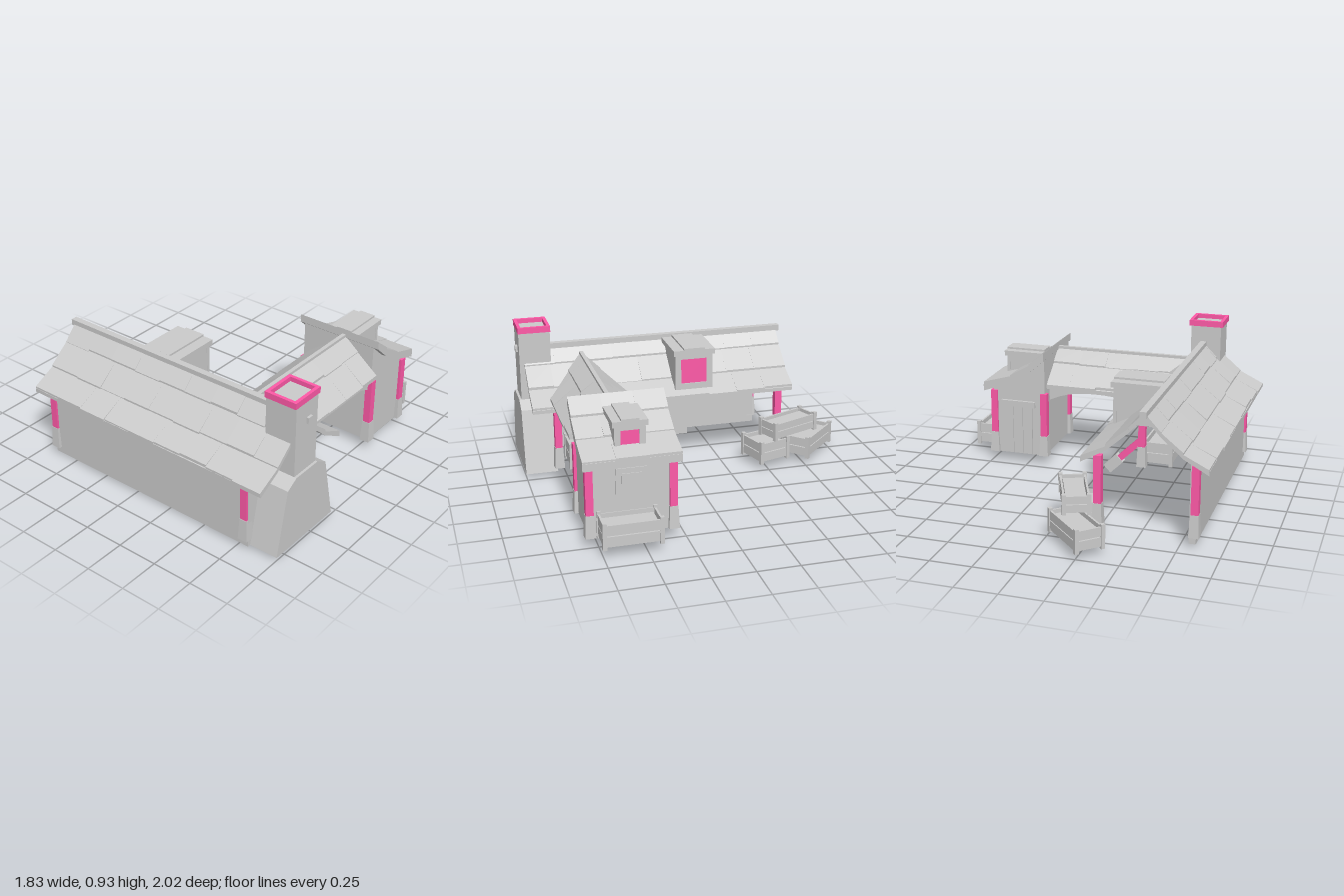
import * as THREE from 'three';

const grey = new THREE.MeshStandardMaterial({ color: 0xcccccc, flatShading: true, side: THREE.DoubleSide });
const pink = new THREE.MeshStandardMaterial({ color: 0xff5aa8, flatShading: true });

let seed = 7;
const rnd = () => (seed = (seed * 16807) % 2147483647) / 2147483647;

function add(parent, name, geo, mat = grey) {
  const m = new THREE.Mesh(geo, mat);
  m.name = name;
  parent.add(m);
  return m;
}

// box from its minimum and maximum corners
function box(parent, name, x0, x1, y0, y1, z0, z1, mat) {
  const g = new THREE.BoxGeometry(x1 - x0, y1 - y0, z1 - z0);
  g.translate((x0 + x1) / 2, (y0 + y1) / 2, (z0 + z1) / 2);
  return add(parent, name, g, mat);
}

// x-y outline extruded from z0 to z1
function prism(pts, z0, z1) {
  const shape = new THREE.Shape(pts.map(p => new THREE.Vector2(...p)));
  const g = new THREE.ExtrudeGeometry(shape, { depth: z1 - z0, bevelEnabled: false });
  return g.translate(0, 0, z0);
}

// remove the faces that lie on the lowest level
function openBottom(geo) {
  const p = geo.toNonIndexed().getAttribute('position');
  geo.computeBoundingBox();
  const low = geo.boundingBox.min.y + 1e-4, out = [];
  for (let i = 0; i < p.count; i += 3) {
    if ([0, 1, 2].every(k => p.getY(i + k) < low)) continue;
    for (let k = 0; k < 3; k++) out.push(p.getX(i + k), p.getY(i + k), p.getZ(i + k));
  }
  const g = new THREE.BufferGeometry();
  g.setAttribute('position', new THREE.Float32BufferAttribute(out, 3));
  g.computeVertexNormals();
  return g;
}

// one concave roof slope (ridge to eave) with raised, uneven tiles
function slope(parent, name, pts, z0, z1, cols, thick) {
  const under = pts.map(([x, y]) => [x, y - thick]).reverse();
  add(parent, name, prism([...pts, ...under], z0, z1));
  const w = (z1 - z0) / cols;
  for (let s = 0; s < pts.length - 1; s++) {
    const [ax, ay] = pts[s], [bx, by] = pts[s + 1];
    for (let c = 0; c < cols; c++) {
      const t = 0.003 + rnd() * 0.01, e = 1 + (rnd() - 0.4) * 0.1;
      const ex = ax + (bx - ax) * e, ey = ay + (by - ay) * e;
      const off = s % 2 ? 0.15 * w : 0;
      const a = z0 + c * w + (c ? off : 0), b = z0 + (c + 1) * w + (c < cols - 1 ? off : 0);
      add(parent, name + 'Tile', prism([[ax, ay - 0.004], [ex, ey - 0.004], [ex, ey + t + 0.005], [ax, ay + 0.004]], a, b));
    }
  }
}

// coloured post on a tapered foot
function post(parent, x, z, top = 0.5) {
  box(parent, 'post', x - 0.022, x + 0.022, 0.2, top, z - 0.022, z + 0.022, pink);
  const foot = new THREE.CylinderGeometry(0.034, 0.043, 0.135, 4).rotateY(Math.PI / 4).translate(x, 0.145, z);
  add(parent, 'postFoot', foot);
}

// slatted crate with corner posts, standing at y
function crate(parent, name, x, y, z, w, h, d, turn) {
  const g = new THREE.Group();
  g.name = name;
  const a = w / 2, b = d / 2, k = 0.012;
  box(g, 'crateFilling', -a + k, a - k, 0.015, h * 0.75, -b + k, b - k);
  for (const sx of [-1, 1]) for (const sz of [-1, 1]) {
    const px = sx * a, pz = sz * b;
    box(g, 'cratePost', px - k, px + k, 0, h, pz - k, pz + k);
  }
  for (let i = 0; i < 2; i++) {
    const y0 = h * (0.1 + 0.42 * i), y1 = y0 + h * 0.38;
    for (const s of [-1, 1]) {
      box(g, 'crateSlat', -a, a, y0, y1, s * b - 0.006, s * b + 0.006);
      box(g, 'crateSlat', s * a - 0.006, s * a + 0.006, y0, y1, -b, b);
    }
  }
  g.position.set(x, y, z);
  g.rotation.y = turn;
  parent.add(g);
}

// dormer facing +x with a coloured window and a plank roof
function dormer(parent, xBack, xFace, xRoof, y0, y1, z0, z1, frame) {
  const g = new THREE.Group();
  g.name = 'dormer';
  const rise = 0.035, zc = (z0 + z1) / 2, step = (z1 - z0) / 4;
  box(g, 'dormerBody', xBack, xFace, y0, y1, z0 + 0.015, z1 - 0.015);
  box(g, 'dormerWindow', xFace, xFace + 0.004, y0 + frame, y1 - frame, z0 + frame + 0.01, z1 - frame - 0.01, pink);
  for (const s of [-1, 1]) {
    const e = zc + s * (z1 - z0) / 2 - s * 0.012;
    const i = e - s * frame;
    box(g, 'dormerFrame', xFace - 0.01, xFace + 0.012, y0, y1, Math.min(e, i), Math.max(e, i));
  }
  box(g, 'dormerSill', xFace - 0.01, xFace + 0.012, y0, y0 + frame, z0 + 0.012, z1 - 0.012);
  box(g, 'dormerLintel', xFace - 0.01, xFace + 0.012, y1 - frame, y1, z0 + 0.012, z1 - 0.012);
  for (let i = 0; i < 4; i++) {
    const mid = i === 1 || i === 2 ? 0.012 : 0;
    box(g, 'dormerPlank', xBack, xRoof, y1 - 0.01, y1 + rise - 0.012 + mid, z0 + i * step, z0 + (i + 1) * step);
  }
  parent.add(g);
}

export function createModel() {
  const root = new THREE.Group();
  root.name = 'farmHouse';

  // long shed, open to the east and back
  const shed = new THREE.Group();
  shed.name = 'longShed';
  root.add(shed);
  const half = [[0, 0.79], [0.09, 0.69], [0.22, 0.575], [0.365, 0.495]];
  for (const s of [-1, 1]) {
    slope(shed, s < 0 ? 'shedRoofWest' : 'shedRoofEast', half.map(([d, y]) => [-0.55 + s * d, y]), -0.71, 0.955, 9, 0.022);
  }
  box(shed, 'ridgeBeam', -0.567, -0.528, 0.768, 0.806, -0.73, 1.0);
  box(shed, 'backWall', -0.84, -0.8, 0.035, 0.53, -0.65, -0.15);
  box(shed, 'frontWall', -0.84, -0.7, 0.035, 0.53, -0.15, 0.82);
  add(shed, 'frontGable', prism([[-0.84, 0.44], [-0.84, 0.51], [-0.7, 0.61], [-0.55, 0.76], [-0.4, 0.61], [-0.26, 0.51], [-0.26, 0.44]], 0.78, 0.82));
  for (const [x, z] of [[-0.83, 0.795], [-0.83, -0.64], [-0.27, 0.795], [-0.27, 0.32], [-0.27, -0.64]]) post(shed, x, z);
  dormer(shed, -0.52, -0.235, -0.21, 0.53, 0.765, -0.2, 0.065, 0.038);
  crate(shed, 'shedCrate', -0.35, 0.06, 0.56, 0.18, 0.17, 0.32, 0);

  // slanting support by the shed post
  const brace = new THREE.Group();
  brace.name = 'brace';
  box(brace, 'braceBeam', -0.02, 0.02, -0.22, 0, -0.02, 0.02, pink);
  box(brace, 'braceFoot', -0.033, 0.033, -0.315, -0.2, -0.028, 0.028);
  brace.position.set(-0.27, 0.26, 0.32);
  brace.rotation.z = 0.8;
  root.add(brace);

  // chimney
  const chimney = new THREE.Group();
  chimney.name = 'chimney';
  root.add(chimney);
  add(chimney, 'chimneyBase', prism([[-0.82, 0.035], [-0.3, 0.035], [-0.385, 0.43], [-0.465, 0.475], [-0.66, 0.475], [-0.735, 0.43]], 0.8, 1.0));
  box(chimney, 'chimneyShaft', -0.66, -0.465, 0.46, 0.915, 0.79, 0.985);
  for (const s of [-1, 1]) {
    const x = -0.5615 + s * 0.1, z = 0.8885 + s * 0.09;
    box(chimney, 'chimneyRim', x - 0.01, x + 0.01, 0.905, 0.942, 0.788, 0.989, pink);
    box(chimney, 'chimneyRim', -0.67, -0.453, 0.905, 0.942, z - 0.01, z + 0.01, pink);
  }

  // roofed bridge between the buildings, cut where it meets the shed roof
  const bridge = new THREE.Group();
  bridge.name = 'bridge';
  const prof = [[0, 0.74], [0.1, 0.655], [0.235, 0.54]];
  for (const s of [-1, 1]) slope(bridge, 'bridgeRoof', prof.map(([d, y]) => [s * d, y]), -0.5, 0.385, 5, 0.02);
  box(bridge, 'bridgeRidge', -0.012, 0.012, 0.73, 0.752, -0.5, 0.385);
  for (const m of bridge.children) {
    const p = m.geometry.getAttribute('position');
    for (let i = 0; i < p.count; i++) p.setZ(i, Math.max(p.getZ(i), -0.5 + 1.06 * Math.abs(p.getX(i))));
    m.geometry.computeVertexNormals();
  }
  bridge.rotation.y = Math.PI / 2;
  bridge.position.z = 0.595;
  root.add(bridge);
  const arch = [[-0.27, 0.56], [-0.27, 0.42]];
  for (let i = 0; i <= 10; i++) {
    const u = i / 10 * 2 - 1;
    arch.push([0.07 + u * 0.31, 0.5 - 0.065 * Math.abs(u) ** 2.5]);
  }
  arch.push([0.385, 0.56]);
  add(root, 'bridgeArch', prism(arch, 0.4, 0.79));

  // small house with a single slope
  const house = new THREE.Group();
  house.name = 'smallHouse';
  root.add(house);
  const outline = [[0.385, 0.075], [0.735, 0.075], [0.735, 0.54], [0.6, 0.58], [0.48, 0.66], [0.385, 0.75]];
  add(house, 'houseWalls', openBottom(prism(outline, 0.31, 0.8)));
  slope(house, 'houseRoof', [[0.38, 0.775], [0.48, 0.685], [0.61, 0.605], [0.795, 0.54]], 0.28, 0.835, 3, 0.045);
  for (const x of [0.39, 0.73]) for (const z of [0.32, 0.795]) post(house, x, z);
  dormer(house, 0.45, 0.685, 0.71, 0.54, 0.705, 0.45, 0.65, 0.035);
  // east window
  box(house, 'windowFrame', 0.73, 0.745, 0.3, 0.47, 0.47, 0.645);
  box(house, 'windowPane', 0.74, 0.75, 0.33, 0.44, 0.5, 0.615);
  // plank door at the back
  for (let i = 0; i < 3; i++) box(house, 'doorPlank', 0.47 + i * 0.065, 0.532 + i * 0.065, 0.08, 0.4, 0.298, 0.312);
  box(house, 'doorLintel', 0.45, 0.68, 0.4, 0.44, 0.292, 0.312);
  crate(house, 'houseCrate', 0.815, 0.07, 0.585, 0.16, 0.16, 0.32, 0);

  // stack of crates behind the shed
  crate(root, 'lowerCrate', -0.2, 0.055, -0.83, 0.16, 0.145, 0.33, 0.77);
  crate(root, 'lowerCrate', -0.14, 0.055, -0.52, 0.2, 0.15, 0.2, 0.3);
  crate(root, 'upperCrate', -0.14, 0.205, -0.67, 0.14, 0.12, 0.33, 0.385);

  return root;
}
